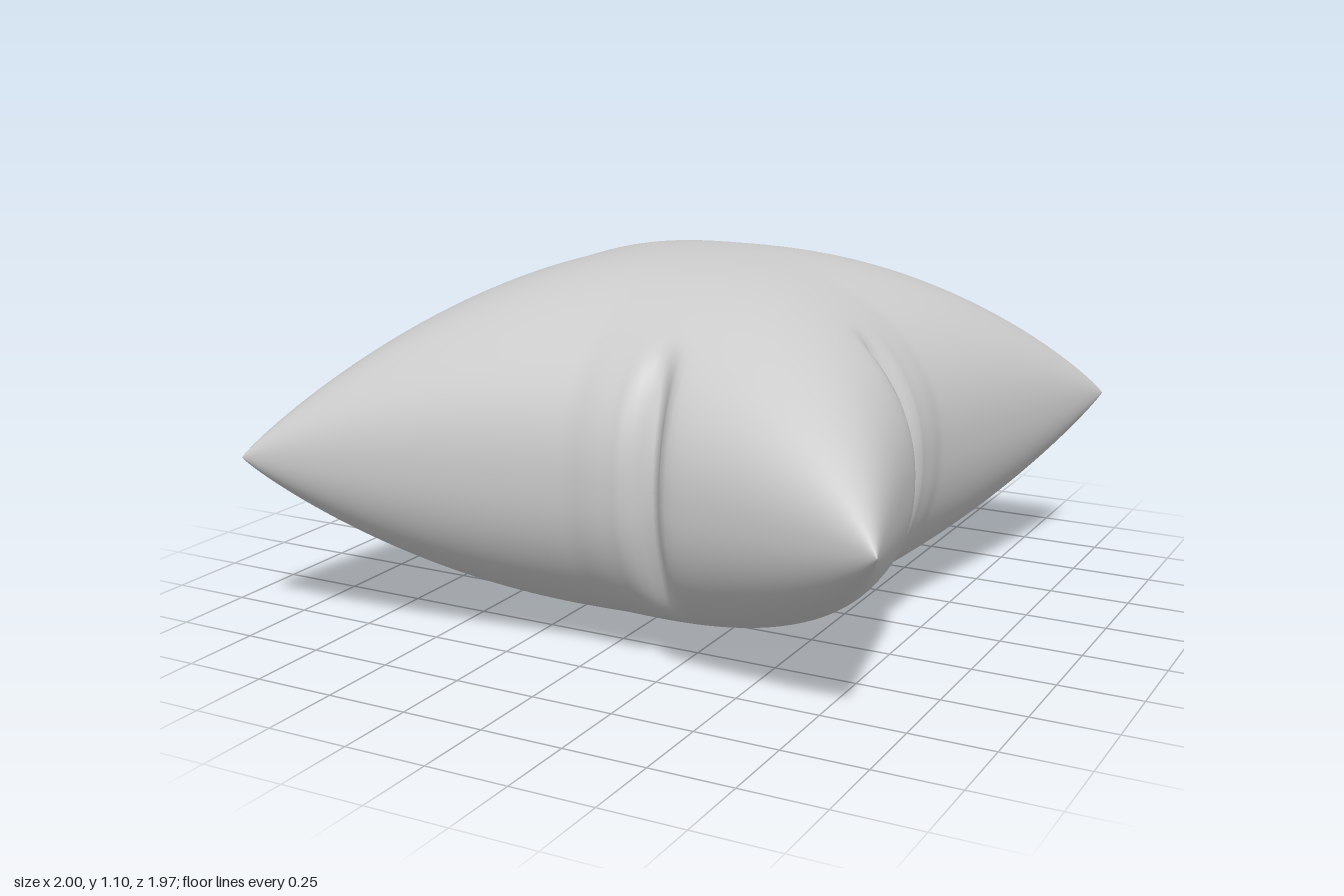
import * as THREE from 'three';
import { mergeVertices } from 'three/addons/utils/BufferGeometryUtils.js';

const N = 150;            // grid segments per side of each sheet
const HALF_HEIGHT = 0.55;

// pinched folds on each edge: [position along the edge, depth]
const FOLDS = {
  front: [[0.25, 0.1]],
  right: [[0.25, 0.09]],
  back: [[-0.22, 0.075], [0.22, 0.075]],
  left: [[-0.23, 0.075], [0.23, 0.075]],
};

// grid spacing that gets denser towards the seam
const spread = (a) => Math.sin((Math.PI / 2) * a * (1.15 - 0.15 * a ** 6));

// distance of the seam from the centre; it bows inward between the corners
const edge = (t, middle) => middle + (1 - middle) * Math.abs(t) ** 1.25;

// inward pull of the folds: a sharp crease, steeper on the corner side, in a soft hollow
function pinch(folds, t) {
  let pull = 0;
  for (const [centre, depth] of folds) {
    const d = (t - centre) * Math.sign(centre);
    const crease = Math.max(0, 1 - Math.abs(d) / (d > 0 ? 0.06 : 0.08));
    const soft = Math.exp(-((d / (d > 0 ? 0.06 : 0.13)) ** 2));
    pull += depth * (0.65 * crease ** 1.2 + 0.35 * soft) + 0.004 * soft * Math.cos(d * 45);
  }
  return pull;
}

// a sheet swells from the seam with a round side and cone-like corners
const swell = (s) => Math.max(0, 1 - Math.abs(s) ** 2.4) ** 0.45;

function pillowPoint(u, v, side) {
  const sideX = u > 0 ? FOLDS.right : FOLDS.left;
  const sideZ = v > 0 ? FOLDS.front : FOLDS.back;
  const fade = (s) => THREE.MathUtils.smoothstep(Math.abs(s), 0.7, 1);
  const x = u * edge(v, 0.795) - Math.sign(u) * fade(u) * pinch(sideX, v);
  const z = v * edge(u, 0.815) - Math.sign(v) * fade(v) * pinch(sideZ, u);
  return [x, HALF_HEIGHT * (1 + side * swell(u) * swell(v)), z * 0.985];
}

// upper and lower sheets, welded along the seam so the shading runs round it
function pillowGeometry() {
  const positions = [];
  const indices = [];
  for (const side of [1, -1]) {
    const base = positions.length / 3;
    for (let j = 0; j <= N; j++) {
      for (let i = 0; i <= N; i++) {
        const u = spread((2 * i) / N - 1);
        const v = spread((2 * j) / N - 1);
        positions.push(...pillowPoint(u, v, side));
      }
    }
    for (let j = 0; j < N; j++) {
      for (let i = 0; i < N; i++) {
        const a = base + j * (N + 1) + i;
        const b = a + 1;
        const c = a + N + 1;
        const d = c + 1;
        if (side > 0) indices.push(a, c, b, b, c, d);
        else indices.push(a, b, c, b, d, c);
      }
    }
  }
  const geometry = new THREE.BufferGeometry();
  geometry.setAttribute('position', new THREE.Float32BufferAttribute(positions, 3));
  geometry.setIndex(indices);
  const welded = mergeVertices(geometry, 1e-5);
  welded.computeVertexNormals();
  return welded;
}

export function createModel() {
  const group = new THREE.Group();
  group.name = 'pillow';
  const material = new THREE.MeshStandardMaterial({ color: 0xcccccc });
  const cushion = new THREE.Mesh(pillowGeometry(), material);
  cushion.name = 'cushion';
  group.add(cushion);
  return group;
}
